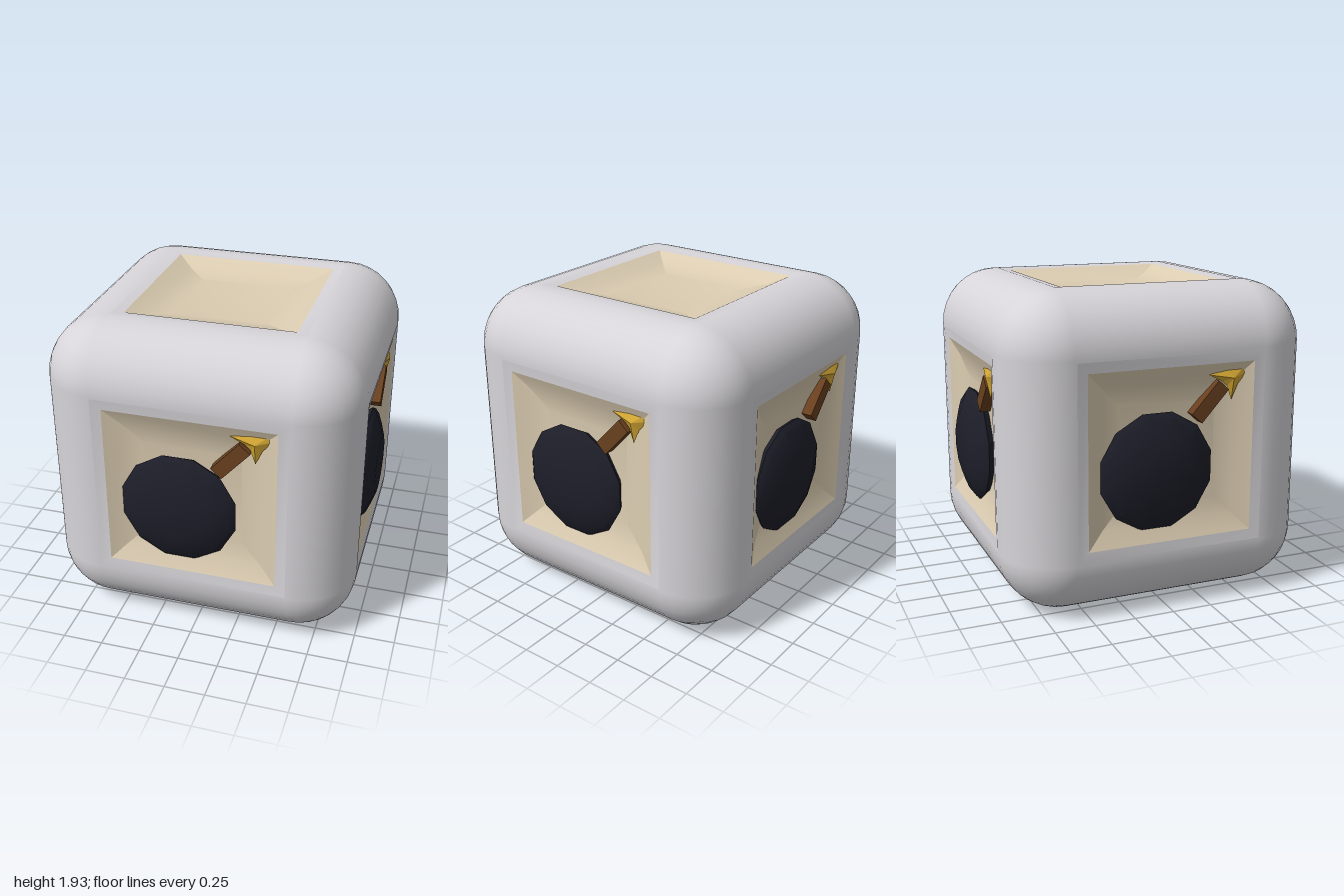
import * as THREE from 'three';
import { toCreasedNormals } from 'three/addons/utils/BufferGeometryUtils.js';

const HALF = 0.965;   // half size of the crate
const CORE = 0.6;     // flat half width of each side
const R = HALF - CORE;
const HOLE = 0.59;    // half width of the opening
const PANEL = 0.525;  // half width of the recessed panel

const mat = (name, color, extra = {}) => {
  const m = new THREE.MeshStandardMaterial({ color, ...extra });
  m.name = name;
  return m;
};

// One side of a rounded box facing +z, with a square opening in the middle
function frameGeometry() {
  const outer = [HOLE, CORE];
  for (let i = 1; i <= 4; i++) outer.push(CORE + R * Math.tan((i / 4) * Math.PI / 4));
  const t = [...outer.map(v => -v).reverse(), ...outer];
  const n = t.length, pos = [], nor = [], idx = [];
  for (const v of t) for (const u of t) {
    const core = new THREE.Vector3(
      THREE.MathUtils.clamp(u, -CORE, CORE), THREE.MathUtils.clamp(v, -CORE, CORE), CORE);
    const d = new THREE.Vector3(u, v, HALF).sub(core).normalize();
    nor.push(d.x, d.y, d.z);
    core.addScaledVector(d, R);
    pos.push(core.x, core.y, core.z);
  }
  const mid = n / 2 - 1;
  for (let j = 0; j < n - 1; j++) for (let i = 0; i < n - 1; i++) {
    if (i === mid && j === mid) continue;
    const a = j * n + i;
    idx.push(a, a + 1, a + n + 1, a, a + n + 1, a + n);
  }
  const g = new THREE.BufferGeometry();
  g.setAttribute('position', new THREE.Float32BufferAttribute(pos, 3));
  g.setAttribute('normal', new THREE.Float32BufferAttribute(nor, 3));
  g.setIndex(idx);
  return g;
}

// Square stepped surface facing +z; the profile lists [half width, z] from rim to centre
function squareGeometry(profile) {
  const pts = profile.map(([w, z]) => new THREE.Vector2(w * Math.SQRT2, z));
  const g = new THREE.LatheGeometry(pts, 4).rotateY(Math.PI / 4).rotateX(Math.PI / 2);
  return toCreasedNormals(g, 0.28);
}

// Flattened round body, half sunk into the panel
function bombGeometry() {
  const profile = [[0, 0.85], [0.33, 0.86], [0.365, 0.915], [0.335, 0.94],
    [0.27, 0.967], [0.19, 0.995], [0, 1.0]];
  const g = new THREE.LatheGeometry(profile.map(p => new THREE.Vector2(...p)), 12);
  return toCreasedNormals(g.rotateY(Math.PI / 12).rotateX(Math.PI / 2), 0.4);
}

// Three-pointed spark, slightly raised at its centre on both sides
function sparkGeometry() {
  const rim = [[0.24, 0.455], [0.33, 0.41], [0.36, 0.38], [0.39, 0.295], [0.43, 0.385],
    [0.49, 0.455], [0.475, 0.49], [0.36, 0.492]];
  const pos = [];
  rim.forEach((a, i) => {
    const b = rim[(i + 1) % rim.length];
    pos.push(...a, 0.925, ...b, 0.925, 0.39, 0.43, 0.955);
    pos.push(...b, 0.925, ...a, 0.925, 0.39, 0.43, 0.89);
  });
  const g = new THREE.BufferGeometry();
  g.setAttribute('position', new THREE.Float32BufferAttribute(pos, 3));
  g.computeVertexNormals();
  return g;
}

export function createModel() {
  const grey = mat('pale grey frame', 0xd6d4d8);
  const cream = mat('cream panel', 0xdccdb2);
  const navy = mat('dark navy', 0x1d1e29);
  const brown = mat('brown fuse', 0x69401f);
  const gold = mat('gold spark', 0xd6a934, { side: THREE.DoubleSide });

  const frame = frameGeometry();
  const lip = squareGeometry([[HOLE, HALF], [PANEL, 0.955]]);
  const panel = squareGeometry([[PANEL, 0.955], [0.42, 0.907], [0.3, 0.88], [0, 0.875]]);
  const bomb = bombGeometry();
  const fuse = new THREE.BoxGeometry(0.088, 0.255, 0.09);
  const spark = sparkGeometry();

  const model = new THREE.Group();
  model.name = 'crate';
  const add = (parent, name, geometry, material) => {
    const m = new THREE.Mesh(geometry, material);
    m.name = name;
    parent.add(m);
    return m;
  };

  // Six sides: four with the emblem, top and bottom plain
  const sides = [
    ['front', 0, 0], ['left', 0, Math.PI / 2], ['back', 0, Math.PI], ['right', 0, -Math.PI / 2],
    ['top', -Math.PI / 2, 0], ['bottom', Math.PI / 2, 0],
  ];
  for (const [name, rx, ry] of sides) {
    const side = new THREE.Group();
    side.name = name + 'Side';
    side.rotation.set(rx, ry, 0);
    side.position.y = HALF;
    add(side, 'frame', frame, grey);
    add(side, 'frameLip', lip, grey);
    add(side, 'recessedPanel', panel, cream);
    if (rx === 0) {
      add(side, 'bombBody', bomb, navy).position.set(-0.083, -0.098, 0);
      const f = add(side, 'fuse', fuse, brown);
      f.position.set(0.245, 0.297, 0.9);
      f.rotation.z = -0.735;
      add(side, 'spark', spark, gold);
    }
    model.add(side);
  }
  return model;
}
